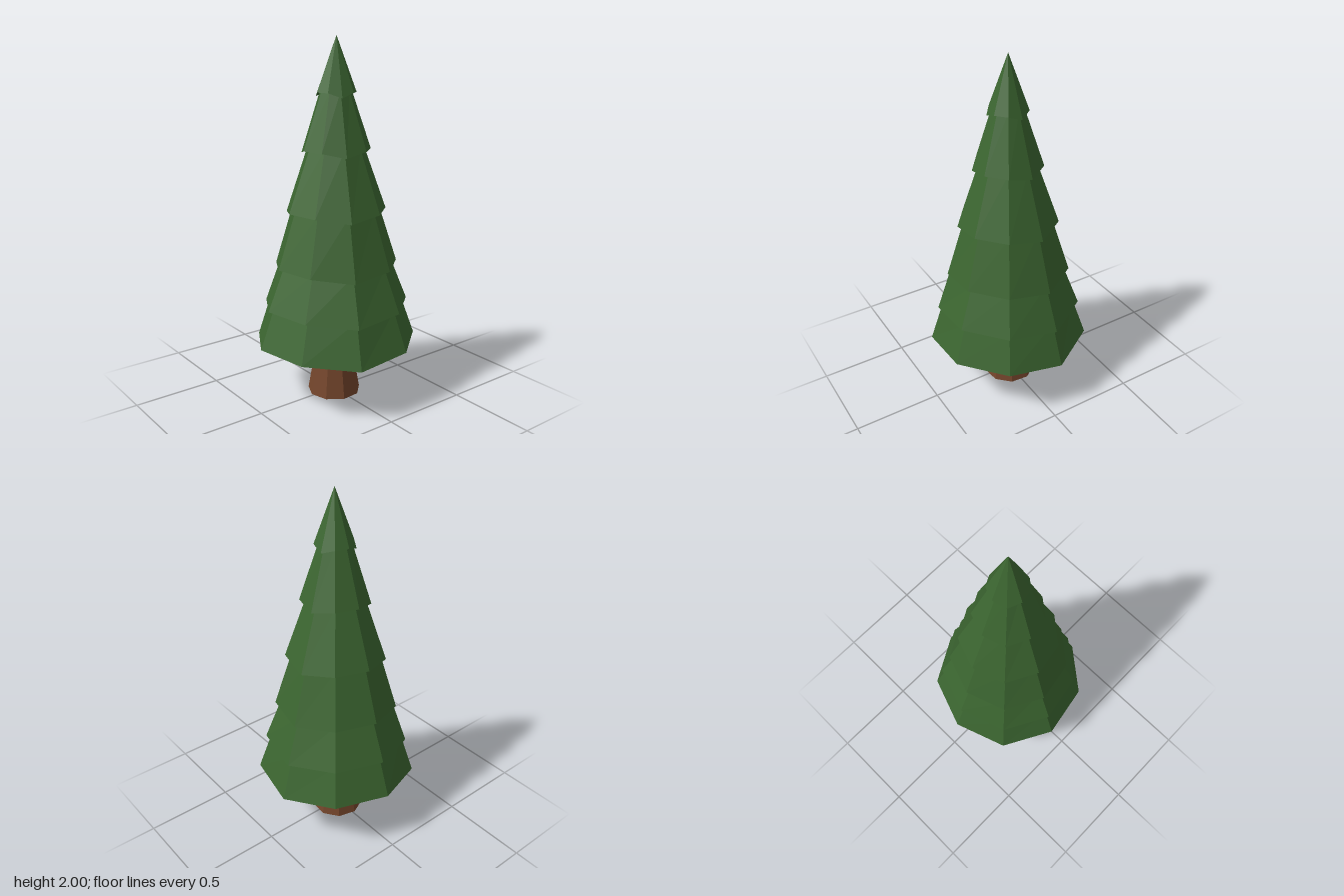
import * as THREE from 'three';

const SIDES = 9;

// Faceted shell through horizontal rings listed from the inside/bottom up.
// ring: { r, y, x, z, drop } - drop lowers every third corner.
function facetedShell(rings, startAngle) {
  const corner = (ring, k) => {
    const i = k % SIDES;
    const a = startAngle + (i * Math.PI * 2) / SIDES;
    const y = ring.y - (i % 3 === 2 ? ring.drop || 0 : 0);
    return [(ring.x || 0) + Math.sin(a) * ring.r, y, (ring.z || 0) - Math.cos(a) * ring.r];
  };
  const pos = [];
  for (let j = 0; j < rings.length - 1; j++) {
    const low = rings[j], high = rings[j + 1];
    for (let k = 0; k < SIDES; k++) {
      const a = corner(low, k), b = corner(low, k + 1);
      const c = corner(high, k + 1), d = corner(high, k);
      if (low.r > 0) pos.push(...b, ...a, ...d);
      if (high.r > 0) pos.push(...b, ...d, ...c);
    }
  }
  const geometry = new THREE.BufferGeometry();
  geometry.setAttribute('position', new THREE.Float32BufferAttribute(pos, 3));
  geometry.computeVertexNormals();
  return geometry;
}

export function createModel() {
  const tree = new THREE.Group();
  tree.name = 'pineTree';
  const bark = new THREE.MeshStandardMaterial({ color: 0x74452b, flatShading: true });
  const needles = new THREE.MeshStandardMaterial({ color: 0x3b6530, flatShading: true });

  // Trunk: flared foot, narrow waist, widening into the branches
  const trunk = new THREE.Mesh(facetedShell([
    { r: 0, y: 0 }, { r: 0.15, y: 0 }, { r: 0.11, y: 0.23 }, { r: 0.137, y: 0.43 },
  ], -Math.PI / 4), bark);
  trunk.name = 'trunk';
  tree.add(trunk);

  // Branch tiers: rim radius, rim height, radius where the next tier covers it
  const tiers = [
    [0.455, 0.333, 0.375],
    [0.407, 0.545, 0.312],
    [0.344, 0.772, 0.242],
    [0.278, 1.075, 0.155],
    [0.191, 1.405, 0.084],
    [0.11, 1.708, 0],
  ];
  tiers.forEach(([r, y, topR], i) => {
    const last = i === tiers.length - 1;
    const x = i * 0.001, z = 0.01;
    const topY = last ? 2 : tiers[i + 1][1] + 0.012;
    const innerR = i === 0 ? 0.1 : r * 0.5;
    const tier = new THREE.Mesh(facetedShell([
      { r: innerR, y: y + (r - innerR) * 0.27, x, z }, // hollow underside
      { r, y, x, z, drop: 0.025 },                     // uneven rim
      { r: topR, y: topY, x: last ? 0.008 : x, z },    // sloping top
    ], 0), needles);
    tier.name = `branchTier${i + 1}`;
    tree.add(tier);
  });
  return tree;
}
